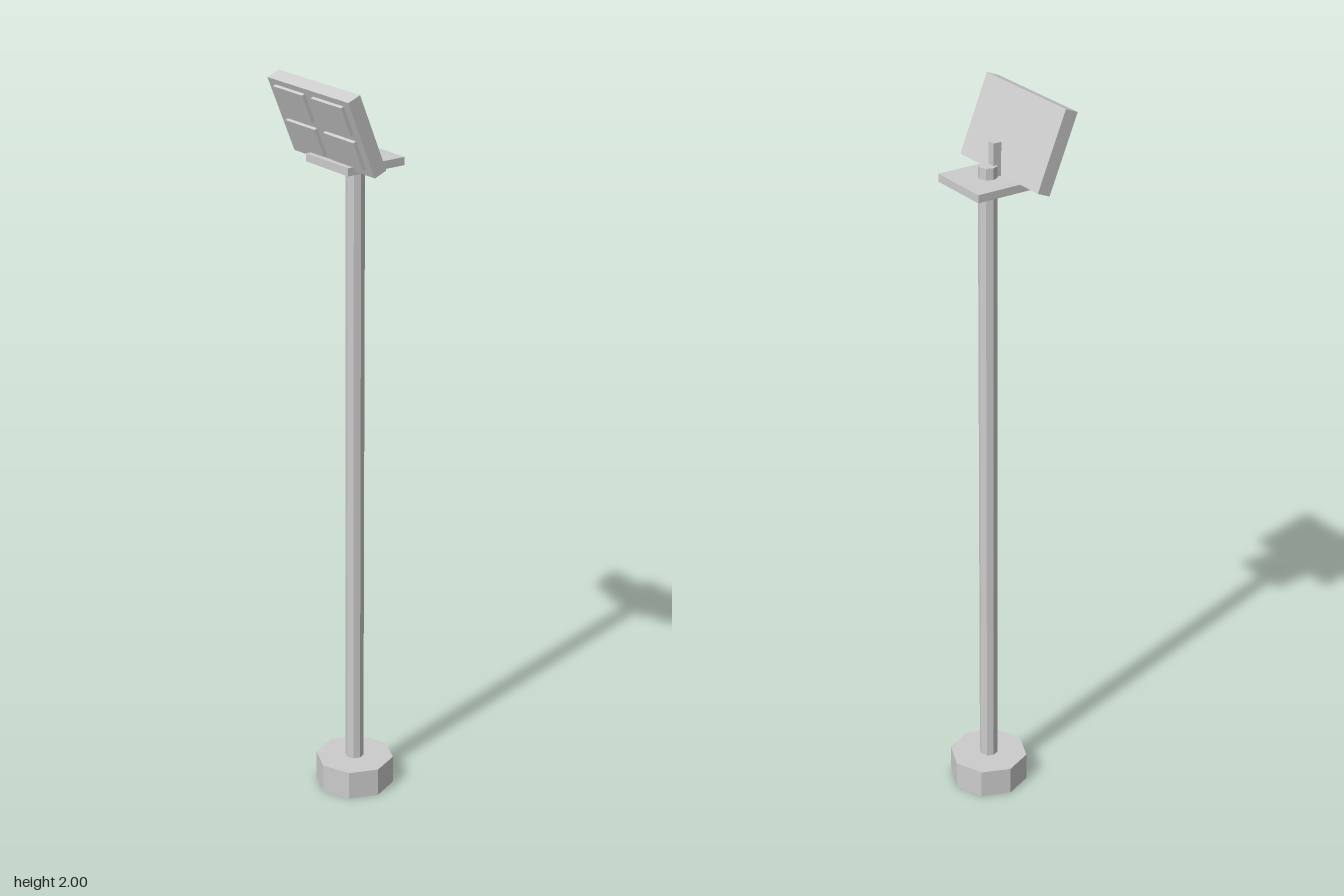
import * as THREE from 'three';

export function createModel() {
  const model = new THREE.Group();
  const grey = new THREE.MeshStandardMaterial({ color: 0xcccccc, flatShading: true, side: THREE.DoubleSide });
  grey.name = 'light grey';
  const axisZ = -0.022; // the pole stands slightly behind the centre

  const add = (name, geometry, x, y, z, parent = model) => {
    const mesh = new THREE.Mesh(geometry, grey);
    mesh.name = name;
    mesh.position.set(x, y, z);
    parent.add(mesh);
    return mesh;
  };

  // Octagonal foot: a hollow shell, open underneath
  const foot = new THREE.Group();
  foot.name = 'foot';
  foot.position.z = axisZ;
  model.add(foot);
  add('footWall', new THREE.CylinderGeometry(0.108, 0.108, 0.08, 8, 1, true), 0, 0.04, 0, foot);
  add('footTop', new THREE.CircleGeometry(0.108, 8), 0, 0.08, 0, foot).rotation.x = -Math.PI / 2;

  // Pole, running from inside the foot up through the mounting plate
  const bottom = 0.06, top = 1.828;
  add('pole', new THREE.CylinderGeometry(0.025, 0.025, top - bottom, 8), 0, (top + bottom) / 2, axisZ);

  // Square mounting plate and the short post behind the lamp
  add('mountingPlate', new THREE.BoxGeometry(0.177, 0.021, 0.177), 0, 1.787, axisZ);
  add('bracketPost', new THREE.BoxGeometry(0.023, 0.088, 0.023), 0, 1.842, -0.001);

  // Floodlight head, leaning forward
  const head = new THREE.Group();
  head.name = 'lampHead';
  head.position.set(0, 1.893, 0.068);
  head.rotation.x = THREE.MathUtils.degToRad(22.1);
  model.add(head);
  const depth = 0.038;
  add('lampHousing', new THREE.BoxGeometry(0.338, 0.216, depth), 0, 0, 0, head);

  // Four raised lamp panes
  for (const x of [-0.08, 0.08]) {
    for (const y of [0.0525, -0.047]) {
      add('lampPane', new THREE.BoxGeometry(0.125, 0.08, 0.009), x, y, depth / 2 + 0.0045, head);
    }
  }
  return model;
}
